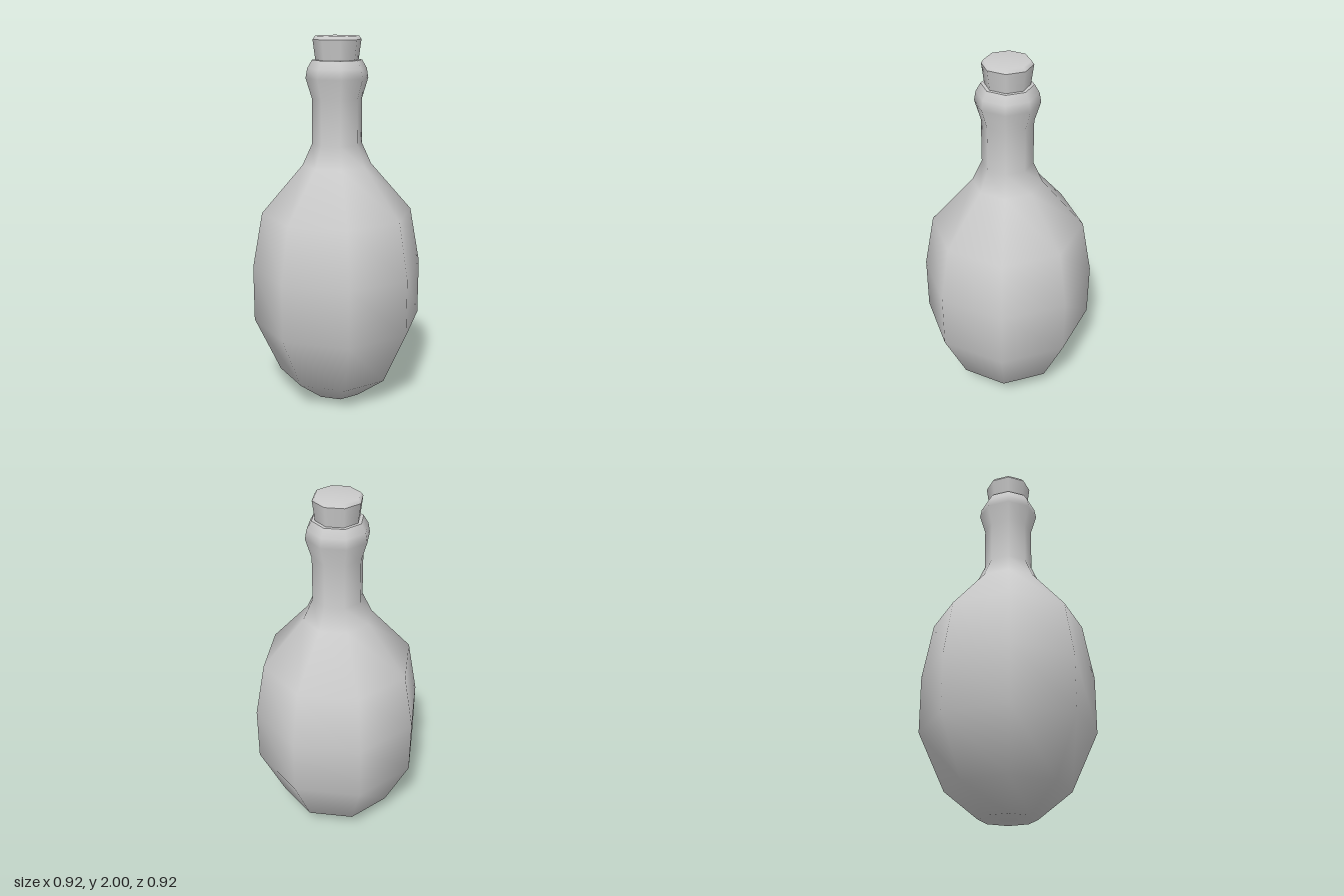
import * as THREE from 'three';

const SIDES = 8;
const START = THREE.MathUtils.degToRad(36); // turns the octagon about its axis

// Revolved part from [radius, height] pairs; a repeated pair makes a sharp edge
function turned(name, profile) {
  const points = profile.map(([r, y]) => new THREE.Vector2(r, y));
  const geometry = new THREE.LatheGeometry(points, SIDES, START);
  const mesh = new THREE.Mesh(geometry, new THREE.MeshStandardMaterial({ color: 0xcccccc }));
  mesh.name = name;
  return mesh;
}

export function createModel() {
  const group = new THREE.Group();
  group.name = 'bottle';

  // Round belly, slim neck and bulging lip
  group.add(turned('bottleBody', [
    [0, 0], [0.15, 0], [0.325, 0.14], [0.466, 0.45], [0.466, 0.76],
    [0.41, 1.065], [0.186, 1.325], [0.134, 1.44], [0.134, 1.68],
    [0.166, 1.785], [0.157, 1.835], [0.132, 1.878], [0.132, 1.878], [0, 1.878],
  ]));

  // Tapered cork with a small bevel on top
  group.add(turned('stopper', [
    [0.113, 1.87], [0.128, 1.982], [0.128, 1.982], [0.115, 2], [0, 2],
  ]));

  return group;
}
